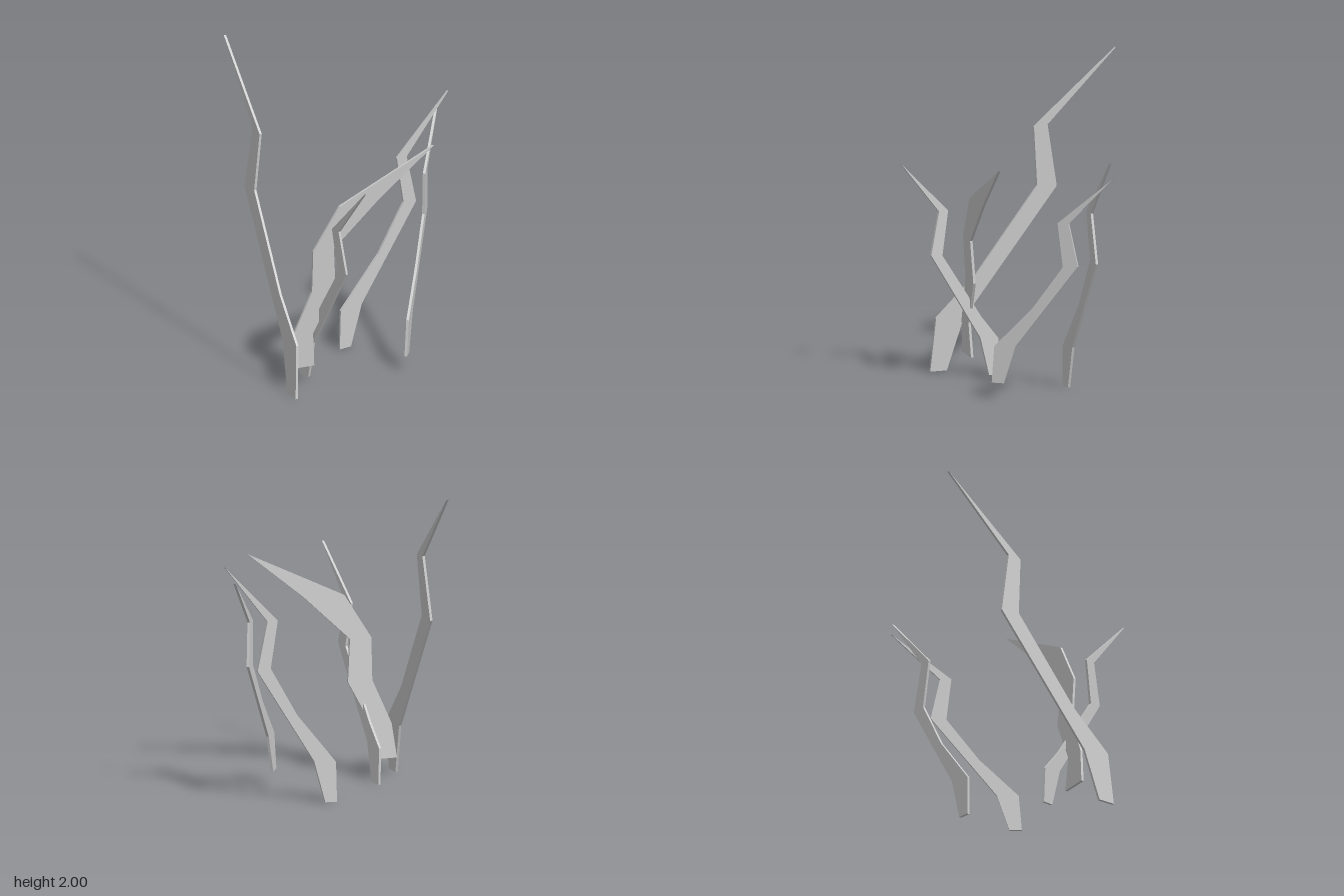
import * as THREE from 'three';

const THICKNESS = 0.016;

// Each blade is an outline (u, y) lying on a slightly tilted plane.
// axis 'x': u is x and z = a + b*u + c*y;  axis 'z': u is z and x = a + b*u + c*y.
// leftEdge and rightEdge run from the foot up; the tip closes the outline.
const BLADES = [
  {
    name: 'tallBlade', axis: 'z', plane: [-0.695, -0.0275, 0.058],
    leftEdge: [[0.43, 0.01], [0.4, 0.35], [0.15, 0.6], [-0.25, 1.15], [-0.22, 1.53]],
    rightEdge: [[0.32, 0.01], [0.22, 0.33], [-0.38, 1.14], [-0.31, 1.54]],
    tip: [-0.75, 2],
  },
  {
    name: 'wideBlade', axis: 'x', plane: [0.27, 0.078, 0.0557],
    leftEdge: [[-0.66, 0.13], [-0.63, 0.35], [-0.51, 0.63], [-0.51, 0.9], [-0.34, 1.18]],
    rightEdge: [[-0.48, 0.13], [-0.495, 0.35], [-0.35, 0.63], [-0.37, 0.9], [-0.07, 1.19]],
    tip: [0.29, 1.49],
  },
  {
    name: 'frontBlade', axis: 'z', plane: [-0.48, 0.169, -0.033],
    leftEdge: [[0.14, 0.015], [0.2, 0.26], [0.545, 0.82], [0.485, 1.09]],
    rightEdge: [[0.065, 0.01], [0.07, 0.24], [0.19, 0.39], [0.465, 0.81], [0.42, 1.09]],
    tip: [0.75, 1.42],
  },
  {
    name: 'diagonalBlade', axis: 'z', plane: [0.392, -0.82, 0.045],
    leftEdge: [[0.35, 0.11], [0.34, 0.345], [0.155, 0.6], [0.005, 0.88], [0.035, 1.16]],
    rightEdge: [[0.29, 0.11], [0.235, 0.35], [-0.07, 0.89], [-0.02, 1.16]],
    tip: [-0.245, 1.475],
  },
  {
    name: 'backBlade', axis: 'x', plane: [-0.2, -0.02, 0.013],
    leftEdge: [[-0.055, 0.005], [-0.05, 0.26], [0.215, 0.585], [0.395, 0.9], [0.345, 1.2]],
    rightEdge: [[0.025, 0.01], [0.1, 0.28], [0.485, 0.89], [0.415, 1.2]],
    tip: [0.71, 1.58],
  },
];

function makeBlade({ name, axis, plane, leftEdge, rightEdge, tip }, material) {
  const sign = axis === 'z' ? -1 : 1;
  const [a, b, c] = plane;
  const outline = [...leftEdge, tip, ...[...rightEdge].reverse()]
    .map(([u, y]) => new THREE.Vector2(sign * u, y));

  const geometry = new THREE.ExtrudeGeometry(new THREE.Shape(outline), {
    depth: THICKNESS, bevelEnabled: false,
  });
  geometry.translate(0, 0, -THICKNESS / 2);

  // Lay the flat blade onto its tilted plane, thickness along the normal
  const slope = sign * b;
  const tilt = new THREE.Matrix4().makeBasis(
    new THREE.Vector3(1, 0, slope),
    new THREE.Vector3(0, 1, c),
    new THREE.Vector3(-slope, -c, 1).normalize(),
  );
  geometry.applyMatrix4(tilt).translate(0, 0, a);
  if (axis === 'z') geometry.rotateY(Math.PI / 2);

  const mesh = new THREE.Mesh(geometry, material);
  mesh.name = name;
  return mesh;
}

export function createModel() {
  const group = new THREE.Group();
  group.name = 'grassBlades';
  const material = new THREE.MeshStandardMaterial({ color: 0xcccccc, flatShading: true });
  for (const blade of BLADES) group.add(makeBlade(blade, material));
  return group;
}
